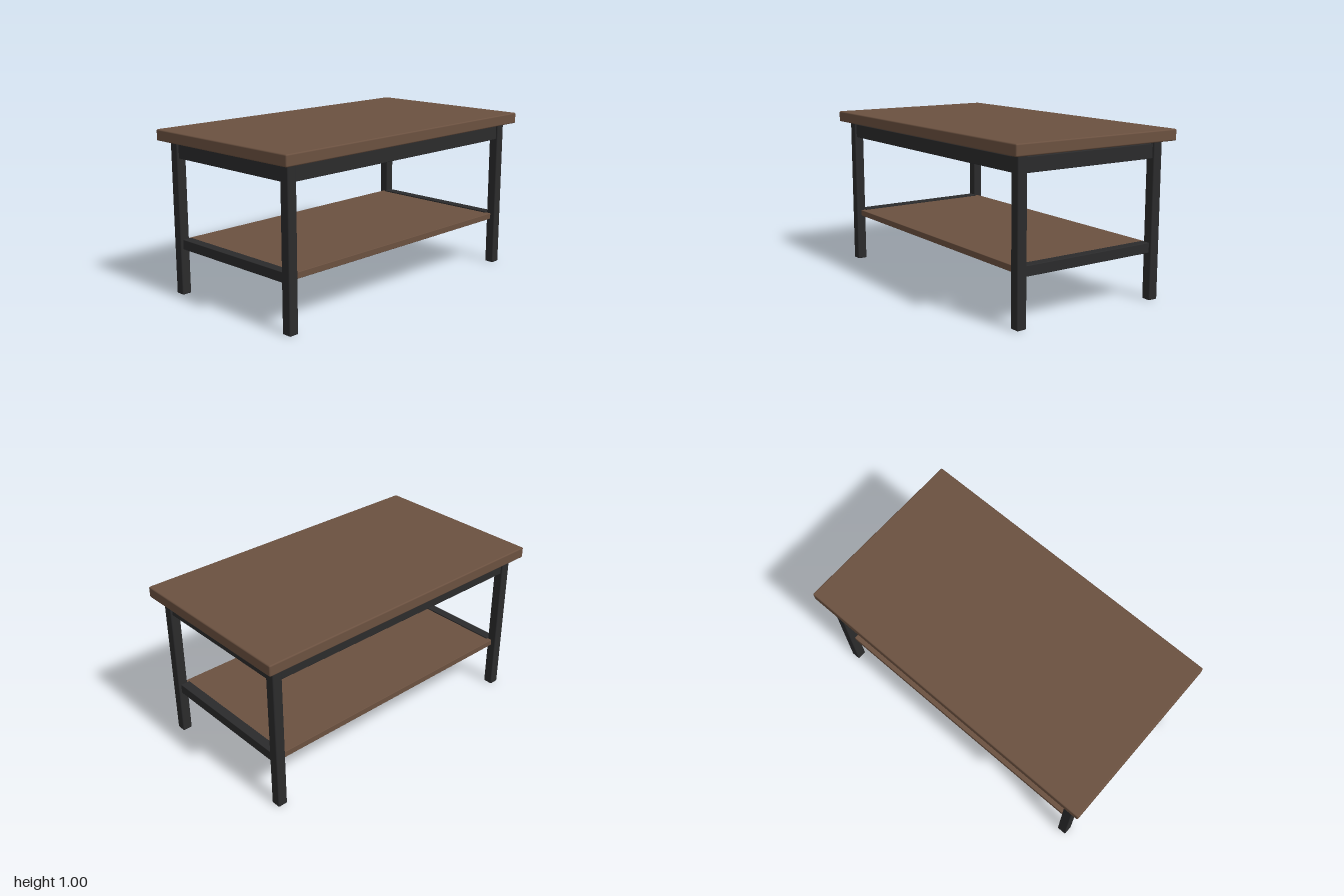
import * as THREE from 'three';
import { RoundedBoxGeometry } from 'three/addons/geometries/RoundedBoxGeometry.js';

export function createModel() {
  const table = new THREE.Group();
  table.name = 'coffeeTable';

  const wood = new THREE.MeshStandardMaterial({ color: 0x6b5140 });
  wood.name = 'brown wood';
  const metal = new THREE.MeshStandardMaterial({ color: 0x2b2b2c });
  metal.name = 'black metal';

  // Softened box spanning y0..y1, centred on x and z
  function slab(name, material, w, d, y0, y1, x = 0, z = 0, radius = 0.003) {
    const mesh = new THREE.Mesh(new RoundedBoxGeometry(w, y1 - y0, d, 2, radius), material);
    mesh.name = name;
    mesh.position.set(x, (y0 + y1) / 2, z);
    table.add(mesh);
  }

  const legX = 0.912, legZ = 0.475, legSize = 0.061;
  const spanX = 2 * legX - legSize, spanZ = 2 * legZ - legSize;

  // Top and lower shelf
  slab('tableTop', wood, 2, 1.12, 0.933, 1, 0, 0, 0.008);
  slab('shelf', wood, spanX, 0.95, 0.297, 0.335);

  for (const s of [-1, 1]) {
    const side = s > 0 ? 'left' : 'right';
    const end = s > 0 ? 'front' : 'back';

    // Legs
    for (const t of [-1, 1]) {
      slab(side + (t > 0 ? 'Front' : 'Back') + 'Leg', metal, legSize, legSize, 0, 0.933, s * legX, t * legZ, 0.007);
    }

    // Aprons under the top
    slab(end + 'Apron', metal, spanX, 0.04, 0.833, 0.918, 0, s * legZ);
    slab(side + 'Apron', metal, 0.04, spanZ, 0.833, 0.918, s * legX, 0);

    // Rails carrying the shelf
    slab(side + 'ShelfRail', metal, 0.06, spanZ, 0.283, 0.343, s * 0.897, 0);
  }

  return table;
}
